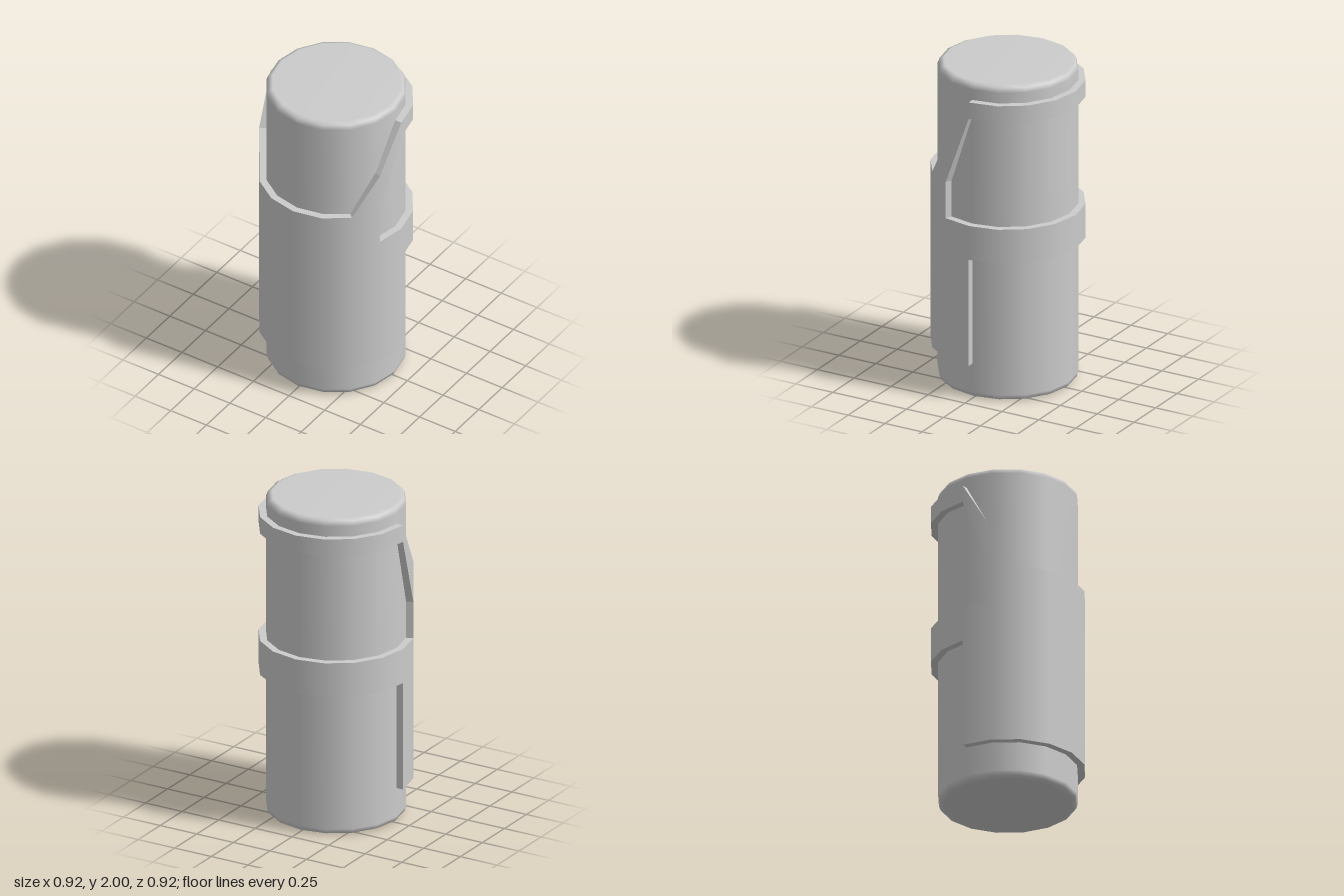
import * as THREE from 'three';

const SIDES = 16;
const STEP = (Math.PI * 2) / SIDES;
const R_CORE = 0.415, R_IN = 0.412, R_OUT = 0.458;

// Point at column i (0 = front centre, positive toward +x)
const at = (i, r, y) => new THREE.Vector3(r * Math.sin(i * STEP), y, r * Math.cos(i * STEP));

// Edge heights of the shell by column
const topY = (i) => [1.34, 1.34, 1.34, 1.596][Math.abs(i)] ?? 1.895;
const windowTopY = (i) => (Math.abs(i) <= 3 ? 1.34 : 1.79);
const flat = (y) => () => y;

// Vertical spans [bottom, top] that are solid in a facet, by distance from the front
function spans(m) {
  if (m < 3) return [[flat(0.22), topY]];
  if (m < 4) return [[flat(0.22), flat(1.11)], [windowTopY, topY]];
  return [[flat(0.895), flat(1.11)], [windowTopY, topY]];
}

function shellGeometry() {
  const pos = [], nor = [];
  const quad = (corners, normals) => {
    const [a, b, c] = corners;
    const n = b.clone().sub(a).cross(c.clone().sub(a)).normalize();
    for (const k of [0, 1, 2, 0, 2, 3]) {
      pos.push(...corners[k].toArray());
      nor.push(...(normals ? normals[k] : n).toArray());
    }
  };

  // Outer facets with their upper and lower rims
  for (let i = -SIDES / 2; i < SIDES / 2; i++) {
    const j = i + 1;
    for (const [lo, hi] of spans(Math.min(Math.abs(i), Math.abs(j)))) {
      const ni = at(i, 1, 0), nj = at(j, 1, 0);
      quad([at(i, R_OUT, lo(i)), at(j, R_OUT, lo(j)), at(j, R_OUT, hi(j)), at(i, R_OUT, hi(i))], [ni, nj, nj, ni]);
      quad([at(i, R_OUT, hi(i)), at(j, R_OUT, hi(j)), at(j, R_IN, hi(j)), at(i, R_IN, hi(i))]);
      quad([at(i, R_IN, lo(i)), at(j, R_IN, lo(j)), at(j, R_OUT, lo(j)), at(i, R_OUT, lo(i))]);
    }
  }

  // Upright edges of the side windows and of the front panel
  for (const side of [1, -1]) {
    for (const [col, lo, hi] of [[3, 1.11, 1.34], [4, 0.22, 0.895]]) {
      const i = col * side;
      const wall = [at(i, R_OUT, lo), at(i, R_IN, lo), at(i, R_IN, hi), at(i, R_OUT, hi)];
      quad(side > 0 ? wall : wall.reverse());
    }
  }

  const geo = new THREE.BufferGeometry();
  geo.setAttribute('position', new THREE.Float32BufferAttribute(pos, 3));
  geo.setAttribute('normal', new THREE.Float32BufferAttribute(nor, 3));
  return geo;
}

export function createModel() {
  const group = new THREE.Group();
  group.name = 'bandedCylinder';
  const material = new THREE.MeshStandardMaterial({ color: 0xcccccc });

  // Core with softly bevelled ends
  const half = [[0, 0], [0.378, 0], [0.404, 0.012], [R_CORE, 0.04]];
  const profile = [...half, ...half.map(([r, y]) => [r, 2 - y]).reverse()];
  const core = new THREE.Mesh(
    new THREE.LatheGeometry(profile.map(([r, y]) => new THREE.Vector2(r, y)), SIDES),
    material
  );
  core.name = 'core';

  // Wrapped holder: front panel, sloping shoulders and two rear bands
  const holder = new THREE.Mesh(shellGeometry(), material);
  holder.name = 'holder';

  group.add(core, holder);
  return group;
}
